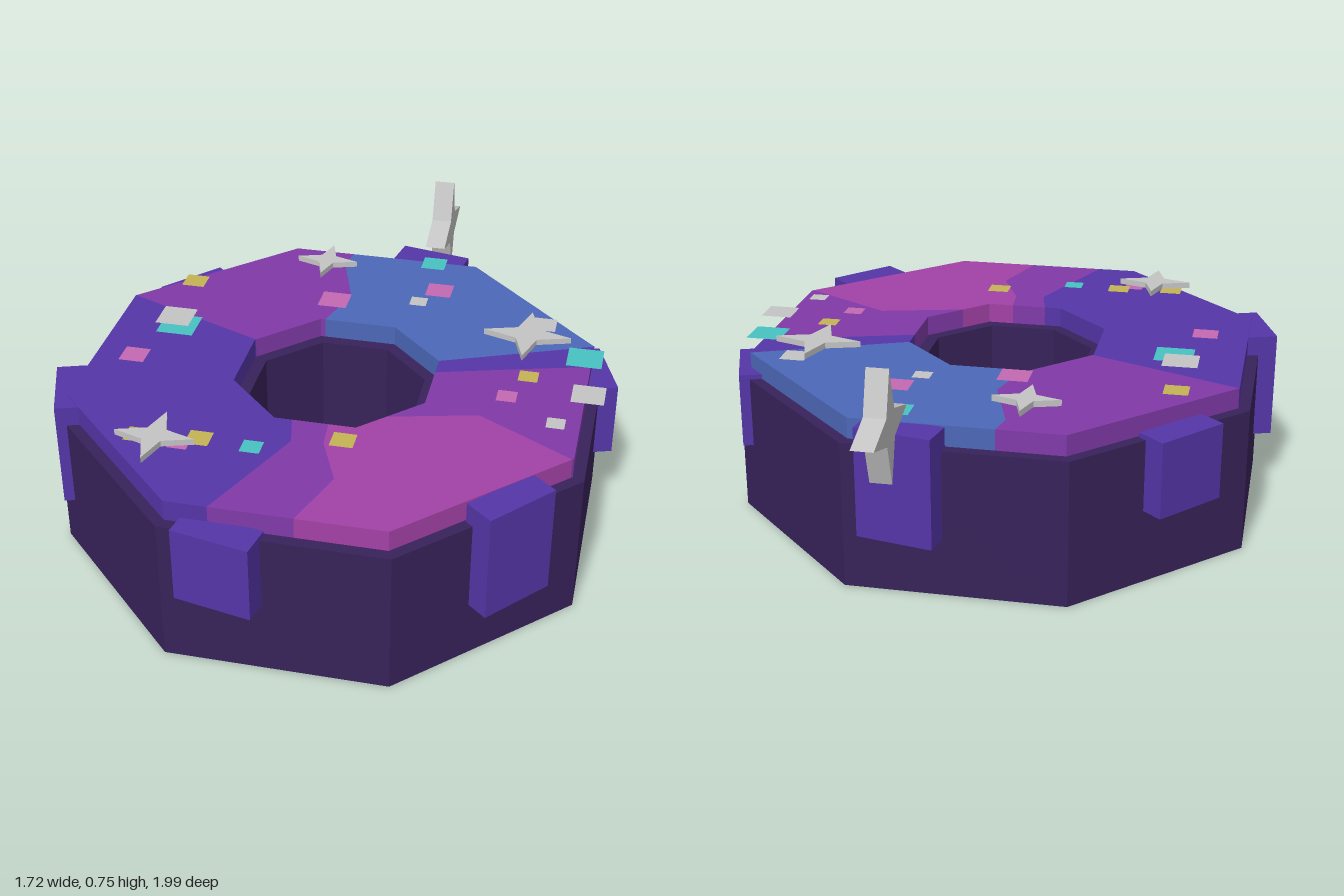
import * as THREE from 'three';

const CZ = 0.115; // centre of the ring along z
const rad = THREE.MathUtils.degToRad;

// Point on an octagon with the given apothem, at an angle in degrees
function octPoint(apothem, deg) {
  const local = ((((deg + 22.5) % 45) + 45) % 45) - 22.5;
  const r = apothem / Math.cos(rad(local));
  return new THREE.Vector2(r * Math.cos(rad(deg)), r * Math.sin(rad(deg)));
}

function octagon(apothem) {
  return Array.from({ length: 8 }, (_, i) => octPoint(apothem, 22.5 + i * 45));
}

// Extrude a plan shape (x, z) downwards from y = 0
function slab(shape, depth) {
  const g = new THREE.ExtrudeGeometry(shape, { depth, bevelEnabled: false });
  return g.rotateX(Math.PI / 2);
}

function starShape(r) {
  const pts = [];
  for (let i = 0; i < 8; i++) {
    const q = i % 2 ? r * 0.34 : r;
    pts.push(new THREE.Vector2(q * Math.cos(i * Math.PI / 4), q * Math.sin(i * Math.PI / 4)));
  }
  return new THREE.Shape(pts);
}

export function createModel() {
  const model = new THREE.Group();
  model.name = 'frostedRing';
  const mats = {};
  const colours = {
    dough: 0x37225a, indigo: 0x5535a8, purple: 0x803aa8, magenta: 0xa241a6, blue: 0x4c68b8,
    silver: 0xc4c4c4, teal: 0x48c2c2, pink: 0xc468b2, yellow: 0xc4b454,
  };
  for (const [name, color] of Object.entries(colours)) {
    mats[name] = new THREE.MeshStandardMaterial({ color });
    mats[name].name = name;
  }
  mats.sprinkle = {};
  for (const name of ['silver', 'teal', 'pink', 'yellow']) mats[name].side = THREE.DoubleSide;

  const add = (name, geometry, material, x, y, z) => {
    const mesh = new THREE.Mesh(geometry, material);
    mesh.name = name;
    mesh.position.set(x, y, z);
    model.add(mesh);
    return mesh;
  };

  // Octagonal body with a hole
  const ring = new THREE.Shape(octagon(0.805));
  ring.holes.push(new THREE.Path(octagon(0.26)));
  add('body', slab(ring, 0.46), mats.dough, 0, 0.46, CZ);

  // Icing patches: each border runs from the hole to the rim, and starts a colour
  const borders = [
    { inner: -110, mid: [[-0.06, -0.475], [-0.13, -0.695]], outer: -98.5, color: 'blue' },
    { inner: -22.5, mid: [], outer: -22.5, color: 'indigo' },
    { inner: -10.4, mid: [[0.55, -0.13]], outer: -14, color: 'purple' },
    { inner: 48, mid: [[0.47, 0.155]], outer: 23, color: 'magenta' },
    { inner: 82, mid: [[0.05, 0.4], [0.12, 0.565]], outer: 86, color: 'purple' },
    { inner: 103, mid: [[-0.045, 0.41], [-0.11, 0.57]], outer: 104, color: 'indigo' },
    { inner: 203, mid: [], outer: 202.6, color: 'purple' },
  ];
  const IN = 0.3, OUT = 0.77;
  const line = (b) => [octPoint(IN, b.inner), ...b.mid.map((p) => new THREE.Vector2(...p)), octPoint(OUT, b.outer)];
  const corners = (apothem, from, to) => {
    const pts = [];
    for (let a = -112.5; a < 270; a += 45) {
      if (a > from + 0.05 && a < to - 0.05) pts.push(octPoint(apothem, a));
    }
    return pts;
  };
  borders.forEach((a, i) => {
    const last = i === borders.length - 1;
    const b = borders[(i + 1) % borders.length];
    const turn = last ? 360 : 0;
    const outline = [
      ...line(a),
      ...corners(OUT, a.outer, b.outer + turn),
      ...line(b).reverse(),
      ...corners(IN, a.inner, b.inner + turn).reverse(),
    ];
    add('icingPatch', slab(new THREE.Shape(outline), 0.07), mats[a.color], 0, 0.525, CZ);
  });

  // Icing drips around the rim, alternately long and short
  for (let i = 0; i < 6; i++) {
    const a = rad(-79 + i * 60);
    const [low, high] = i % 2 ? [0.235, 0.475] : [0.18, 0.523];
    const drip = add('icingDrip', new THREE.BoxGeometry(0.1, high - low, 0.24), mats.indigo,
      0.82 * Math.cos(a), (low + high) / 2, CZ + 0.82 * Math.sin(a));
    drip.rotation.y = -a;
  }

  // Flat stars hovering over the icing: x, z, radius
  for (const [x, z, r] of [[-0.178, -0.515, 0.103], [0.558, -0.16, 0.139], [-0.421, 0.643, 0.121]]) {
    add('flatStar', slab(starShape(r), 0.019), mats.silver, x, 0.572, z);
  }

  // Upright star at the back
  const upright = new THREE.ExtrudeGeometry(starShape(0.172), { depth: 0.066, bevelEnabled: false });
  upright.translate(0, 0, -0.033).rotateY(Math.PI / 2);
  add('uprightStar', upright, mats.silver, 0.173, 0.582, -0.828);

  // Square sprinkles: x, z, size, colour
  const sprinkles = [
    [0.18, -0.61, 0.08, 'teal'], [0.23, -0.425, 0.085, 'pink'], [0.175, -0.335, 0.055, 'silver'],
    [-0.1, -0.285, 0.095, 'pink'], [-0.59, -0.31, 0.075, 'yellow'], [-0.555, -0.015, 0.12, 'teal'],
    [-0.58, -0.065, 0.11, 'silver'], [-0.635, 0.195, 0.08, 'pink'], [-0.48, 0.62, 0.07, 'yellow'],
    [-0.35, 0.635, 0.06, 'pink'], [-0.3, 0.6, 0.07, 'yellow'], [-0.14, 0.61, 0.06, 'teal'],
    [0.11, 0.52, 0.07, 'yellow'], [0.7, 0.3, 0.055, 'silver'], [0.54, 0.185, 0.06, 'pink'],
    [0.59, 0.06, 0.06, 'yellow'], [0.78, 0.125, 0.1, 'silver'], [0.75, -0.085, 0.11, 'teal'],
    [0.6, -0.265, 0.08, 'silver'],
  ];
  sprinkles.forEach(([x, z, s, color], i) => {
    const square = new THREE.PlaneGeometry(s, s).rotateX(-Math.PI / 2);
    add('sprinkle', square, mats[color], x, 0.545 + i * 0.0003, z);
  });

  return model;
}
